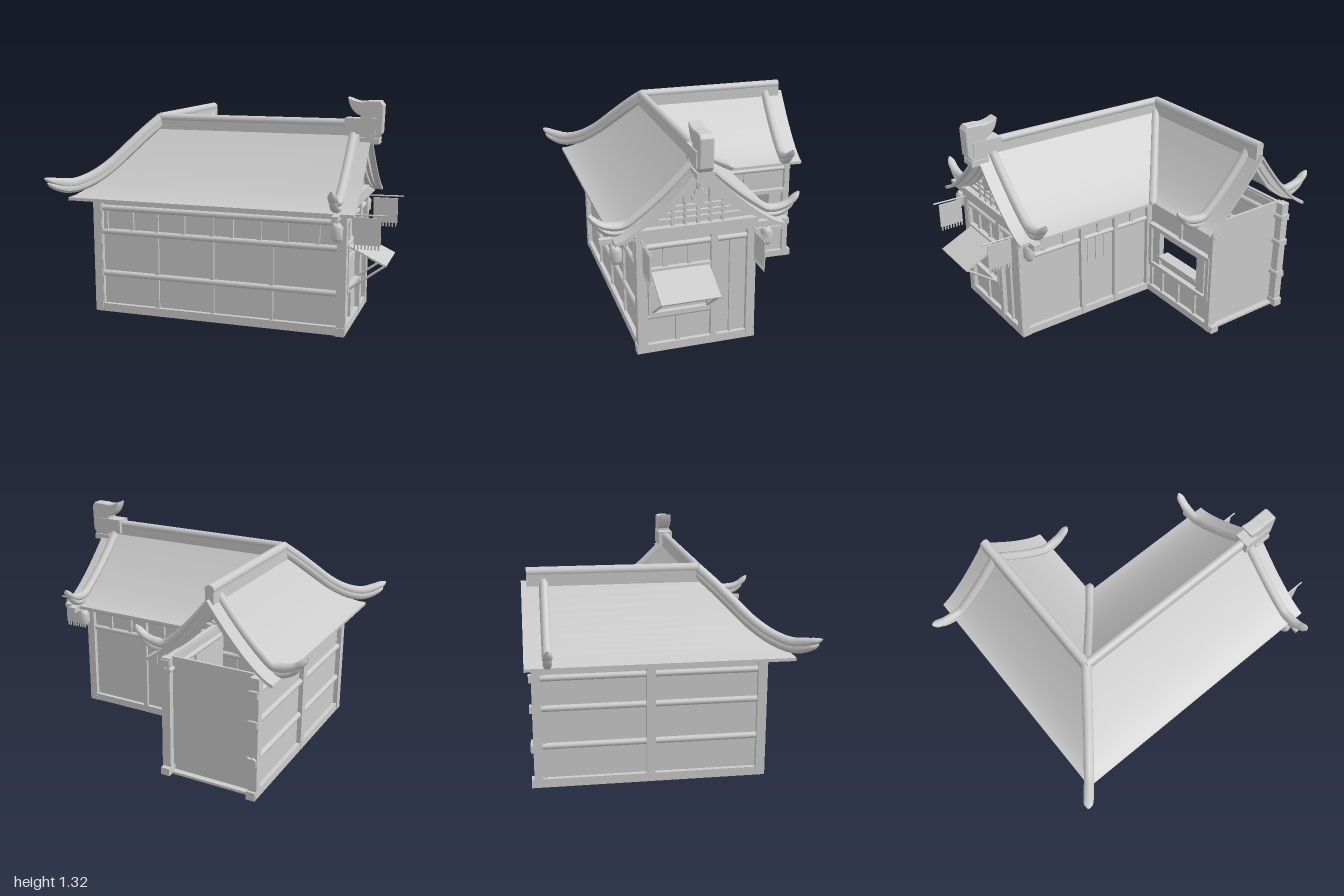
import * as THREE from 'three';
import { toCreasedNormals } from 'three/addons/utils/BufferGeometryUtils.js';

const mat = new THREE.MeshStandardMaterial({ color: 0xcccccc, side: THREE.DoubleSide });
const CX = -0.48, CZ = 0.19;      // ridge lines of the two wings
const RX = 0.385, RZ = 0.48;      // roof half spans
const roofY = t => 0.725 + 0.395 * Math.pow(Math.max(0, 1 - t), 1.35);

function add(parent, name, geo, x = 0, y = 0, z = 0) {
  const m = new THREE.Mesh(geo, mat);
  m.name = name;
  m.position.set(x, y, z);
  parent.add(m);
  return m;
}
// Box given by its limits
function box(parent, name, x0, x1, y0, y1, z0, z1) {
  return add(parent, name, new THREE.BoxGeometry(x1 - x0, y1 - y0, z1 - z0), (x0 + x1) / 2, (y0 + y1) / 2, (z0 + z1) / 2);
}
// Round bar between two points
function bar(parent, name, a, b, r) {
  const A = new THREE.Vector3(...a), B = new THREE.Vector3(...b);
  const m = add(parent, name, new THREE.CylinderGeometry(r, r, A.distanceTo(B), 12));
  m.position.copy(A).lerp(B, 0.5);
  m.quaternion.setFromUnitVectors(new THREE.Vector3(0, 1, 0), B.sub(A).normalize());
}
function polygon(pts) {
  return new THREE.Shape(pts.map(p => new THREE.Vector2(...p)));
}
const extrude = (shape, depth) => new THREE.ExtrudeGeometry(shape, { depth, bevelEnabled: false });

// Curved rib: the end thins in height but keeps its width until a rounded tip
function rib(parent, name, pts, r, tip) {
  const curve = new THREE.CatmullRomCurve3(pts.map(p => new THREE.Vector3(...p)));
  const n = 40, k = 10, geo = new THREE.TubeGeometry(curve, n, r, k), p = geo.attributes.position;
  const v = new THREE.Vector3();
  for (let i = 0; i <= n; i++) {
    const c = curve.getPointAt(i / n);
    const s = Math.max(0.01, Math.min(1, (1 - i / n) / tip));
    const tall = Math.sqrt(s), wide = Math.min(1, Math.sqrt(s * 4));
    for (let j = 0; j <= k; j++) {
      const q = i * (k + 1) + j;
      v.fromBufferAttribute(p, q).sub(c);
      p.setXYZ(q, c.x + v.x * wide, c.y + v.y * tall, c.z + v.z * wide);
    }
  }
  geo.computeVertexNormals();
  add(parent, name, geo);
}

// Curved roof slope with thickness; edge(t) gives its two ends as [x, z] pairs
function slope(parent, name, edge) {
  const n = 14, pos = [], idx = [];
  for (let i = 0; i <= n; i++) {
    const t = i / n, [a, b] = edge(t), y = roofY(t);
    pos.push(a[0], y, a[1], b[0], y, b[1], b[0], y - 0.018, b[1], a[0], y - 0.018, a[1]);
    for (let j = 0; j < 4 && i < n; j++) {
      const q = i * 4 + j, s = i * 4 + (j + 1) % 4;
      idx.push(q, q + 4, s, s, q + 4, s + 4);
    }
  }
  idx.push(n * 4, n * 4 + 2, n * 4 + 1, n * 4, n * 4 + 3, n * 4 + 2);
  const [a, b] = edge(0.5), [c] = edge(0.6);
  // Keep the top face turned upward whichever way the slope runs
  if ((b[1] - a[1]) * (c[0] - a[0]) - (b[0] - a[0]) * (c[1] - a[1]) > 0) idx.reverse();
  const geo = new THREE.BufferGeometry();
  geo.setAttribute('position', new THREE.Float32BufferAttribute(pos, 3));
  geo.setIndex(idx);
  add(parent, name, toCreasedNormals(geo, 0.6));
}

// Wall group: local x runs along the wall, local z points outward
function wall(root, name, x, z, turn) {
  const g = new THREE.Group();
  g.name = name;
  g.position.set(x, 0, z);
  g.rotation.y = turn * Math.PI / 2;
  root.add(g);
  return g;
}
function panel(g, u0, u1, hole) {
  const s = polygon([[u0, 0], [u1, 0], [u1, 0.725], [u0, 0.725]]);
  if (hole) {
    const [a, b, c, d] = hole;
    s.holes.push(new THREE.Path([[a, c], [a, d], [b, d], [b, c]].map(p => new THREE.Vector2(...p))));
  }
  add(g, 'wallPanel', extrude(s, 0.015), 0, 0, -0.015);
}
const posts = (g, us, w = 0.025) => us.forEach(u => box(g, 'post', u - w, u + w, 0.005, 0.725, -0.025, 0.028));
const studs = (g, us, y0, y1, w = 0.012) => us.forEach(u => box(g, 'stud', u - w, u + w, y0, y1, -0.027, 0.014));
// Rails show on both faces of a wall
const rails = (g, u0, u1, ys, r = 0.018) => ys.forEach(y => {
  for (const z of [0.006, -0.021]) bar(g, 'rail', [u0, y, z], [u1, y, z], r);
});
const frame = (g, u0, u1, y0, y1, w, d) => {
  for (const y of [y0, y1]) box(g, 'windowFrame', u0 - w, u1 + w, y - w, y + w, -0.01, d);
  for (const u of [u0, u1]) box(g, 'windowFrame', u - w, u + w, y0, y1, -0.01, d);
};

// Half-gable curve points: [offset from ridge, height]
function gableCurve(half, reach, lift) {
  const pts = [0, 0.12, 0.3, 0.5, 0.7, 0.86].map(t => [t * half, roofY(t) + lift + 0.02 * t]);
  pts.push([half * 1.02, 0.772 + lift], [half + (reach - half) * 0.6, 0.798 + lift], [reach, 0.85 + lift]);
  return pts;
}
// Stepped bargeboards, plus lattice and pendant where the gable is closed
function gable(g, c, half, closed) {
  const ts = [0, 0.15, 0.3, 0.45, 0.6, 0.75, 0.9];
  for (const s of [-1, 1]) {
    for (const [drop, h, z, d] of [[0.01, 0.06, 0.005, 0.05], [0.06, 0.04, 0.0, 0.035]]) {
      const fade = t => Math.min(1, 1.5 * (1 - t));
      const top = ts.map(t => [c + s * t * half, roofY(t) - drop * fade(t)]);
      const low = ts.map(t => [c + s * t * half, roofY(t) - (drop + h) * fade(t)]).reverse();
      add(g, 'bargeboard', extrude(polygon([...top, ...low]), d), 0, 0, z);
    }
  }
  if (!closed) return;
  const right = ts.map(t => [c + t * half, roofY(t) - 0.02]);
  const left = ts.slice(1).reverse().map(t => [c - t * half, roofY(t) - 0.02]);
  add(g, 'gableWall', extrude(polygon([...right, [c + half * 0.8, 0.7], [c - half * 0.8, 0.7], ...left]), 0.012), 0, 0, -0.02);
  box(g, 'gableBeam', c - half * 0.72, c + half * 0.72, 0.72, 0.755, -0.01, 0.03);
  [[0.79, 0.25], [0.825, 0.2], [0.86, 0.15]].forEach(([y, w]) => box(g, 'latticeBar', c - w, c + w, y - 0.007, y + 0.007, -0.01, 0.012));
  for (let i = -2; i <= 2; i++) {
    const u = i * 0.072;
    box(g, 'latticePost', c + u - 0.008, c + u + 0.008, 0.75, roofY(Math.abs(u) / half) - 0.06, -0.01, 0.014);
  }
  const edge = [[0, 0.86], [0.02, 0.875], [0.04, 0.9], [0.045, 0.935], [0.03, 0.93], [0.025, 0.96], [0.012, 0.955], [0, 0.99]];
  add(g, 'gablePendant', extrude(polygon([...edge.map(([u, y]) => [c + u, y]),
    ...edge.slice(1, -1).reverse().map(([u, y]) => [c - u, y])]), 0.02), 0, 0, 0.02);
}

export function createModel() {
  const root = new THREE.Group();
  root.name = 'cornerHouse';

  // Long front wall
  const front = wall(root, 'frontWall', 0, 0.51, 0);
  panel(front, -0.76, 0.76);
  posts(front, [-0.75, 0.75]);
  box(front, 'sill', -0.77, 0.77, 0, 0.05, -0.03, 0.025);
  rails(front, -0.75, 0.75, [0.24, 0.5, 0.645]);
  box(front, 'topBeam', -0.77, 0.77, 0.68, 0.71, -0.02, 0.035);
  studs(front, [-0.37, -0.02, 0.34], 0.05, 0.5);
  studs(front, [-0.7, -0.53, -0.37, -0.2, -0.02, 0.1, 0.27, 0.43, 0.61], 0.5, 0.64);
  for (const x of [-0.35, -0.02, 0.31]) box(front, 'bracket', x - 0.012, x + 0.012, 0.69, 0.715, 0, 0.1);

  // Outer side wall, its rail ends showing past the corner
  const side = wall(root, 'sideWall', -0.745, 0, -1);
  panel(side, -0.76, 0.51);
  posts(side, [-0.75, -0.12, 0.51]);
  box(side, 'sill', -0.79, 0.53, 0, 0.05, -0.03, 0.025);
  rails(side, -0.79, 0.51, [0.24, 0.46, 0.635]);
  box(side, 'topBeam', -0.77, 0.53, 0.68, 0.71, -0.02, 0.025);
  for (const y of [0.03, 0.23, 0.46, 0.635]) box(side, 'railEnd', -0.79, -0.76, y - 0.02, y + 0.02, -0.02, 0.026);

  // Gabled end of the long wing, with window, door and prop-up awning
  const end = wall(root, 'gableEnd', 0.75, 0, 1);
  panel(end, -0.52, 0.13);
  posts(end, [-0.52, 0.12]);
  posts(end, [-0.1], 0.018);
  box(end, 'sill', -0.55, 0.15, 0, 0.05, -0.03, 0.025);
  rails(end, -0.52, 0.12, [0.645], 0.016);
  box(end, 'topBeam', -0.55, 0.34, 0.69, 0.725, -0.02, 0.03);
  rails(end, -0.5, -0.1, [0.22], 0.015);
  frame(end, -0.47, -0.13, 0.24, 0.51, 0.01, 0.03);
  box(end, 'windowBar', -0.47, -0.13, 0.405, 0.42, -0.01, 0.015);
  studs(end, [-0.31], 0.05, 0.22);
  studs(end, [-0.38, -0.24], 0.52, 0.64);
  studs(end, [0.0], 0.05, 0.64, 0.005);
  gable(end, -CZ, RZ, true);
  const awning = box(root, 'awning', -0.117, 0.117, -0.005, 0.005, 0.13, 0.465);
  awning.position.set(0.88, 0.453, 0.297);
  awning.rotation.z = -0.44;
  for (const z of [0.14, 0.455]) bar(root, 'awningStrut', [0.77, 0.25, z], [0.985, 0.41, z], 0.007);

  // Inner courtyard wall of the long wing, with a curtained door
  const back = wall(root, 'courtyardWall', 0, -0.12, 2);
  panel(back, -0.76, 0.2);
  posts(back, [-0.75, 0.19]);
  posts(back, [-0.33, -0.08], 0.014);
  box(back, 'sill', -0.77, 0.2, 0, 0.045, -0.03, 0.025);
  rails(back, -0.75, 0.2, [0.53, 0.645], 0.015);
  box(back, 'topBeam', -0.77, 0.2, 0.68, 0.71, -0.02, 0.03);
  studs(back, [-0.6, -0.45, -0.2, 0.05], 0.53, 0.64);
  for (const u of [-0.265, -0.205, -0.145]) box(back, 'doorCurtain', u - 0.027, u + 0.027, 0.36, 0.52, 0.015, 0.021);
  box(back, 'door', -0.32, -0.2, 0.05, 0.5, 0, 0.01);

  // Inner wall of the short wing, with an open shop window
  const shop = wall(root, 'shopWall', -0.2, 0, 1);
  panel(shop, 0.12, 0.76, [0.26, 0.62, 0.3, 0.48]);
  posts(shop, [0.745], 0.018);
  box(shop, 'sill', 0.12, 0.79, 0.005, 0.05, -0.03, 0.025);
  rails(shop, 0.12, 0.77, [0.655], 0.015);
  box(shop, 'topBeam', 0.12, 0.77, 0.69, 0.715, -0.02, 0.03);
  frame(shop, 0.18, 0.73, 0.225, 0.5, 0.013, 0.035);
  for (const u of [0.225, 0.655]) box(shop, 'shutter', u - 0.035, u + 0.035, 0.24, 0.485, 0, 0.02);
  box(shop, 'counter', 0.26, 0.62, 0.29, 0.31, -0.05, 0.03);
  studs(shop, [0.17, 0.28, 0.44, 0.6], 0.05, 0.22);
  studs(shop, [0.45], 0.51, 0.64);

  // Plain, slightly recessed end of the short wing, open under the roof
  const plain = wall(root, 'plainEnd', 0, -0.72, 2);
  panel(plain, 0.2, 0.76);
  gable(plain, -CX, RX, false);

  // Partial floors
  box(root, 'floor', 0.38, 0.75, 0.005, 0.02, -0.13, 0.51);
  box(root, 'floor', -0.76, -0.2, 0.005, 0.02, -0.755, -0.3);

  // Four mitred roof slopes
  slope(root, 'frontRoof', t => [[CX - RX * t, CZ + RZ * t], [0.84, CZ + RZ * t]]);
  slope(root, 'courtyardRoof', t => [[CX + RX * t, CZ - RZ * t], [0.84, CZ - RZ * t]]);
  slope(root, 'sideRoof', t => [[CX - RX * t, -0.81], [CX - RX * t, CZ + RZ * t]]);
  slope(root, 'shopRoof', t => [[CX + RX * t, -0.81], [CX + RX * t, CZ - RZ * t]]);

  // Ridges with round caps
  box(root, 'ridge', CX - 0.02, 0.75, 1.09, 1.165, CZ - 0.02, CZ + 0.02);
  bar(root, 'ridgeCap', [CX, 1.168, CZ], [0.75, 1.168, CZ], 0.025);
  box(root, 'ridge', CX - 0.025, CX + 0.025, 1.09, 1.165, -0.78, CZ);
  bar(root, 'ridgeCap', [CX, 1.168, -0.78], [CX, 1.168, CZ], 0.028);

  // Upswept ribs over both gables, in two layers
  for (const s of [-1, 1]) {
    for (const [lift, r] of [[0.014, 0.027], [-0.018, 0.024]]) {
      const k = lift > 0 ? 0 : 0.03;
      rib(root, 'gableRib', gableCurve(RZ, 0.6 - k, lift).map(([d, y]) => [0.74, y, CZ + s * d]), r, 0.22);
      rib(root, 'gableRib', gableCurve(RX, 0.52 - k, lift - 0.01).map(([d, y]) => [CX + s * d, y, -0.685]), r, 0.22);
    }
  }
  // Hip and valley ribs
  const along = (t, s, y) => [CX + s * RX * t, y, CZ - s * RZ * t];
  for (const lift of [0.012, -0.018]) {
    const hip = [[0, 1.15], [0.15, 1.085], [0.35, 0.99], [0.55, 0.895], [0.75, 0.828], [0.95, 0.797], [1.1, 0.81], [1.22 + lift, 0.838]];
    rib(root, 'hipRib', hip.map(([t, y]) => along(t, -1, y + lift)), 0.03, 0.14);
  }
  rib(root, 'valleyRib', [0, 0.2, 0.4, 0.6, 0.8, 1.08].map(t => along(t, 1, roofY(t) + 0.012)), 0.026, 0.04);

  // Ridge-end finial
  box(root, 'finialBase', 0.69, 0.87, 1.11, 1.2, CZ - 0.047, CZ + 0.047);
  box(root, 'finialFoot', 0.78, 0.89, 1.055, 1.09, CZ - 0.05, CZ + 0.05);
  const beak = new THREE.Shape();
  beak.moveTo(0.78, 1.07);
  beak.lineTo(0.87, 1.08);
  beak.lineTo(0.9, 1.12);
  beak.lineTo(0.905, 1.275);
  beak.lineTo(0.89, 1.295);
  beak.lineTo(0.82, 1.295);
  beak.quadraticCurveTo(0.77, 1.28, 0.71, 1.312);
  beak.quadraticCurveTo(0.73, 1.23, 0.785, 1.22);
  add(root, 'finial', new THREE.ExtrudeGeometry(beak, { depth: 0.06, bevelSize: 0.006, bevelThickness: 0.01, bevelSegments: 2 }), 0, 0, CZ - 0.03);

  // Hanging lanterns on the eave beam
  box(root, 'eaveBeam', 0.73, 0.765, 0.695, 0.725, -0.34, 0.74);
  const profile = [[0, -0.05], [0.02, -0.05], [0.022, -0.042], [0.034, -0.03], [0.034, 0.03], [0.022, 0.042], [0.02, 0.05], [0, 0.05]];
  for (const z of [0.65, -0.22]) {
    add(root, 'lantern', new THREE.LatheGeometry(profile.map(p => new THREE.Vector2(...p)), 16), 0.745, 0.62, z);
    bar(root, 'lanternCord', [0.745, 0.66, z], [0.745, 0.71, z], 0.004);
  }

  // Fringed banners on rods
  for (const z of [0.515, -0.125]) {
    bar(root, 'bannerRod', [0.75, 0.695, z], [0.995, 0.7, z], 0.005);
    box(root, 'banner', 0.81, 0.96, 0.53, 0.685, z - 0.003, z + 0.003);
    for (let i = 0; i < 8; i++) box(root, 'bannerFringe', 0.812 + i * 0.019, 0.82 + i * 0.019, 0.505, 0.53, z - 0.003, z + 0.003);
  }
  return root;
}
